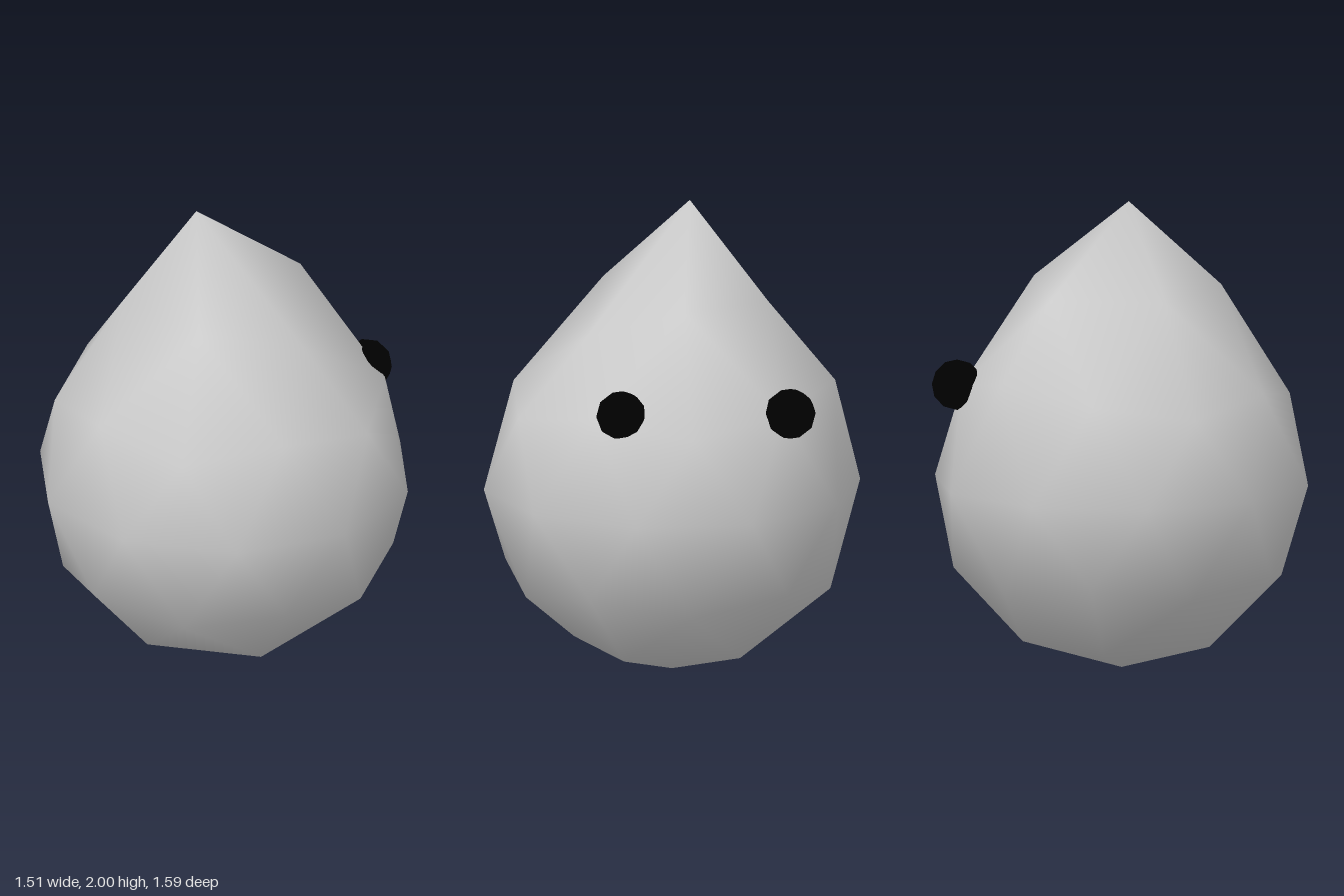
import * as THREE from 'three';
import { mergeVertices } from 'three/addons/utils/BufferGeometryUtils.js';

// Welded icosphere with its poles on the y axis and an upper-ring corner on +x
function icosphere(radius) {
  const geo = new THREE.IcosahedronGeometry(radius, 1);
  geo.rotateZ(-Math.atan(2 / (1 + Math.sqrt(5))));
  geo.deleteAttribute('uv');
  geo.deleteAttribute('normal');
  const welded = mergeVertices(geo, 1e-4);
  welded.computeVertexNormals();
  return welded;
}

function createBody() {
  const R = 0.793;
  const geo = icosphere(R);
  geo.translate(0, R + 0.005, 0);

  // Pull the tip upward and lift its neighbours: [from, to]
  const polar = (deg, r, y) => new THREE.Vector3(
    r * Math.cos(THREE.MathUtils.degToRad(deg)), y, r * Math.sin(THREE.MathUtils.degToRad(deg)));
  const ringY = 0.005 + R * 1.8507, ringR = R * 0.5257;
  const pulls = [
    [polar(0, 0, 2 * R + 0.005), new THREE.Vector3(-0.08, 2, -0.085)],
    [polar(0, ringR, ringY), polar(0, 0.415, 1.635)],
    [polar(72, ringR, ringY), polar(72, 0.39, 1.475)],
    [polar(144, ringR, ringY), polar(144, 0.42, 1.62)],
    [polar(-144, ringR, ringY), polar(-144, 0.42, 1.61)],
    [polar(-72, ringR, ringY), polar(-72, 0.41, 1.605)],
    [polar(-72, R * 0.8944, 0.005 + R * 1.4472), polar(-72, 0.695, 1.28)],
  ];
  const pos = geo.attributes.position;
  const v = new THREE.Vector3();
  for (let i = 0; i < pos.count; i++) {
    v.fromBufferAttribute(pos, i);
    const hit = pulls.find(([from]) => from.distanceTo(v) < 0.05);
    if (hit) pos.setXYZ(i, hit[1].x, hit[1].y, hit[1].z);
  }
  geo.computeVertexNormals();

  const mesh = new THREE.Mesh(geo, new THREE.MeshStandardMaterial({ color: 0xcccccc }));
  mesh.name = 'body';
  return mesh;
}

export function createModel() {
  const model = new THREE.Group();
  model.name = 'dropletCreature';
  model.add(createBody());

  // Two small black eyes on the +x side
  const black = new THREE.MeshStandardMaterial({ color: 0x000000 });
  const eyes = [
    ['frontEye', 0.545, 1.232, 0.28],
    ['backEye', 0.55, 1.222, -0.43],
  ];
  for (const [name, x, y, z] of eyes) {
    const eye = new THREE.Mesh(icosphere(0.107), black);
    eye.name = name;
    eye.position.set(x, y, z);
    model.add(eye);
  }
  return model;
}
